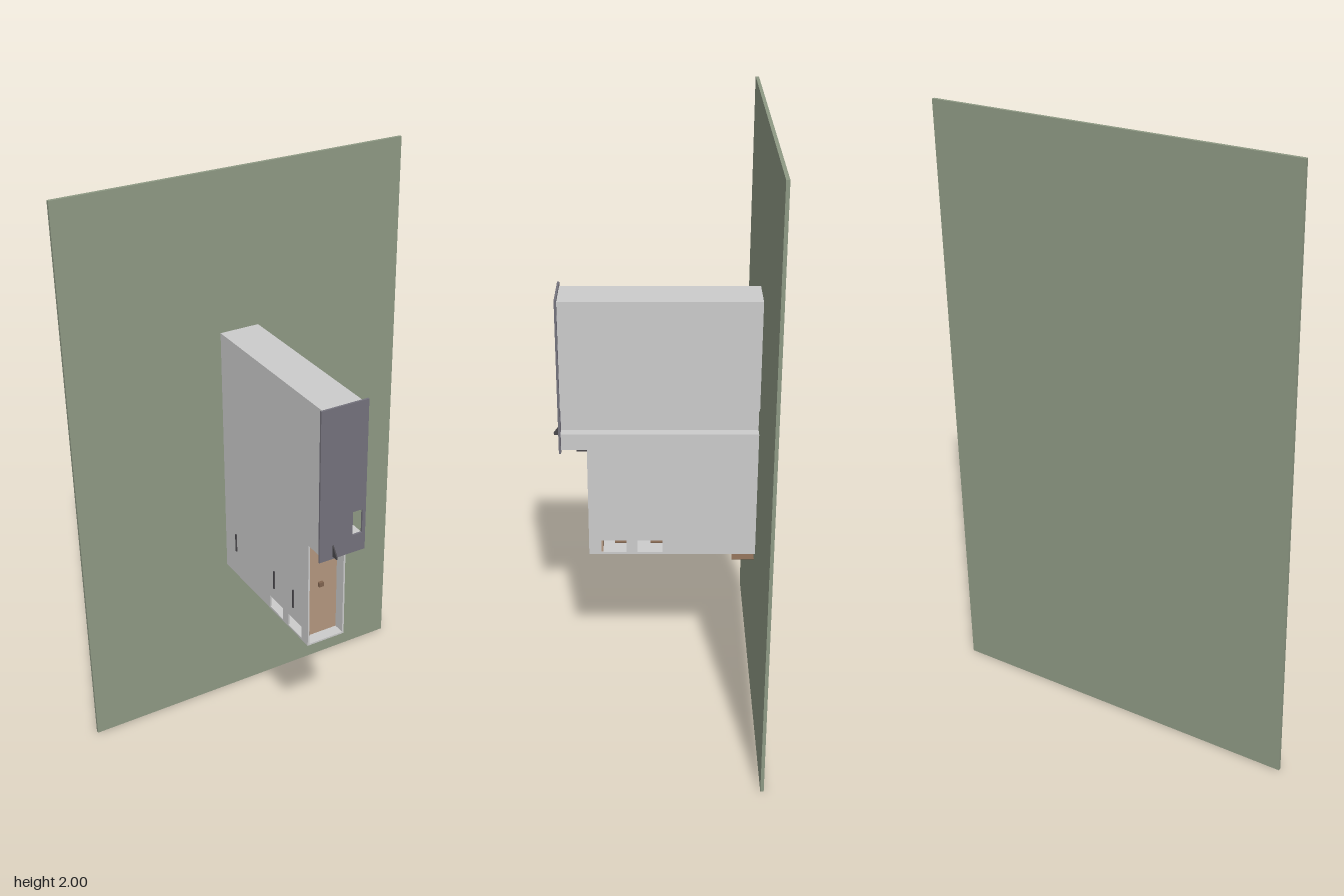
import * as THREE from 'three';

const WALL = 0.006;
const BACK = -0.332, FRONT = 0.31, LOW_FRONT = 0.226;
const HALF = 0.07, BOTTOM = 0.55, STEP = 0.945, TOP = 1.457;
const SLOT_LOW = 1.0, SLOT_HIGH = 1.085, SLOT_X = 0.035;

const paint = (color) => new THREE.MeshStandardMaterial({ color });

export function createModel() {
  const model = new THREE.Group();
  const grey = paint(0xcccccc);
  const green = paint(0x8e9984);
  const slate = paint(0x74727c);
  const tan = paint(0xb3977f);
  const brown = paint(0x80644f);
  const dark = paint(0x4a484c);

  const add = (name, geometry, material) => {
    const mesh = new THREE.Mesh(geometry, material);
    mesh.name = name;
    model.add(mesh);
    return mesh;
  };

  // Box given by its limits on each axis
  const box = (name, [x0, x1], [y0, y1], [z0, z1], material) => {
    const mesh = add(name, new THREE.BoxGeometry(x1 - x0, y1 - y0, z1 - z0), material);
    mesh.position.set((x0 + x1) / 2, (y0 + y1) / 2, (z0 + z1) / 2);
    return mesh;
  };

  const shapeOf = (points) => new THREE.Shape(points.map(([z, y]) => new THREE.Vector2(z, y)));

  // Plate drawn in (z, y) whose thickness ends at x = right
  const sidePlate = (name, shape, right, thickness, material) => {
    const geometry = new THREE.ExtrudeGeometry(shape, { depth: thickness, bevelEnabled: false });
    geometry.rotateY(-Math.PI / 2);
    add(name, geometry, material).position.x = right;
  };

  // Large wall panel
  box('wallPanel', [-0.617, 0.617], [0, 2], [-0.343, BACK], green);

  // Stepped side walls with two windows near the floor
  const steppedWall = (top) => {
    const shape = shapeOf([
      [BACK, BOTTOM], [LOW_FRONT, BOTTOM], [LOW_FRONT, STEP],
      [FRONT, STEP], [FRONT, top], [BACK, top],
    ]);
    for (const z of [0.1, -0.021]) {
      shape.holes.push(new THREE.Path([
        new THREE.Vector2(z, 0.557), new THREE.Vector2(z, 0.602),
        new THREE.Vector2(z + 0.085, 0.602), new THREE.Vector2(z + 0.085, 0.557),
      ]));
    }
    return shape;
  };
  sidePlate('rightWall', steppedWall(TOP), -HALF + WALL, WALL, grey);
  sidePlate('leftLowerWall', steppedWall(SLOT_LOW), HALF, WALL, grey);
  box('leftUpperWall', [HALF - WALL, HALF], [SLOT_HIGH, TOP], [BACK, FRONT], grey);

  // Horizontal plates of the case
  const inner = [-HALF + WALL, HALF - WALL];
  box('caseFloor', inner, [BOTTOM, BOTTOM + WALL], [BACK, LOW_FRONT], grey);
  box('caseShelf', inner, [STEP, STEP + WALL], [BACK, FRONT], grey);
  box('caseTop', inner, [TOP - WALL, TOP], [BACK, FRONT], grey);

  // Open channel running along the left side
  box('channelFloor', [SLOT_X, HALF - WALL], [SLOT_LOW - WALL, SLOT_LOW], [BACK, FRONT], grey);
  box('channelCeiling', [SLOT_X, HALF - WALL], [SLOT_HIGH, SLOT_HIGH + WALL], [BACK, FRONT], grey);
  box('channelBack', [SLOT_X - WALL, SLOT_X], [SLOT_LOW - WALL, SLOT_HIGH + WALL], [BACK, FRONT], grey);

  // Front cover with a window at the channel
  const cover = shapeOf([[-0.085, 0.936], [0.082, 0.936], [0.082, 1.466], [-0.085, 1.466]]);
  cover.holes.push(new THREE.Path([
    new THREE.Vector2(SLOT_X, SLOT_LOW), new THREE.Vector2(SLOT_X, SLOT_HIGH),
    new THREE.Vector2(HALF, SLOT_HIGH), new THREE.Vector2(HALF, SLOT_LOW),
  ]));
  add('frontCover', new THREE.ExtrudeGeometry(cover, { depth: 0.007, bevelEnabled: false }), slate)
    .position.z = 0.309;

  // Thin triangular pull on the cover
  sidePlate('coverPull', shapeOf([[0.316, 0.946], [0.34, 0.946], [0.34, 0.955], [0.316, 0.987]]),
    -0.034, 0.004, dark);

  // Recessed lower board with small knobs
  box('lowerBoard', inner, [BOTTOM + WALL, STEP], [0.179, 0.185], tan);
  for (const [x, y] of [[0, 0.752], [-0.052, 0.572]]) {
    box('boardKnob', [x - 0.008, x + 0.008], [y - 0.008, y + 0.008], [0.185, 0.196], brown);
  }
  box('shelfCatch', [0.042, 0.058], [0.932, STEP], [0.225, 0.26], dark);

  // Tilted flaps: one below the case, two behind the windows
  for (const [z, y] of [[-0.293, 0.533], [0.102, 0.597], [-0.018, 0.597]]) {
    const flap = add('tiltedFlap', new THREE.BoxGeometry(0.095, 0.003, 0.075), brown);
    flap.position.set(0.004, y, z);
    flap.rotation.z = -0.36;
  }

  // Small tabs on the right wall
  for (const z of [-0.255, 0.01, 0.135]) {
    box('sideTab', [-0.074, -HALF], [0.65, 0.72], [z - 0.003, z + 0.003], dark);
  }

  return model;
}
